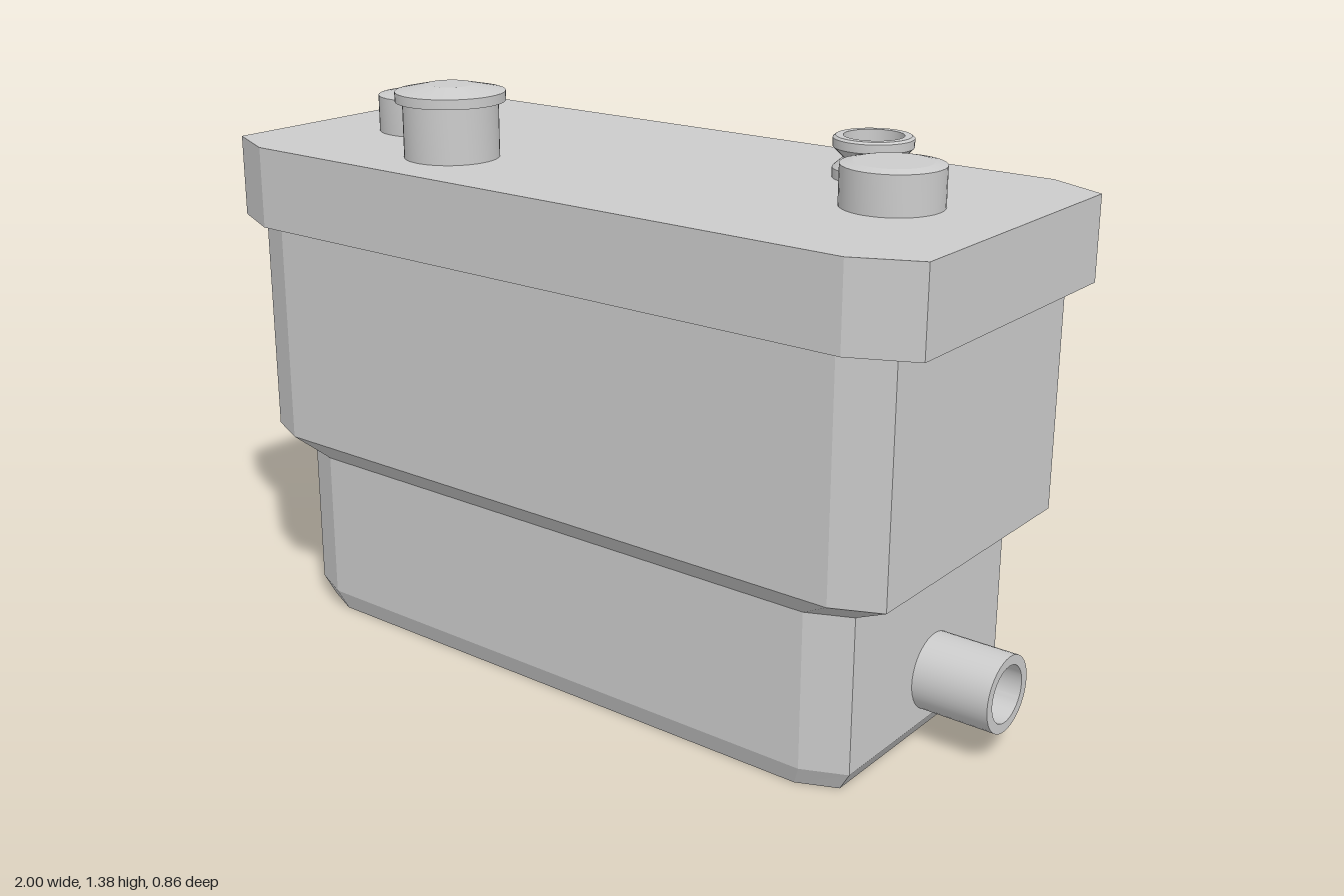
import * as THREE from 'three';
import { toCreasedNormals } from 'three/addons/utils/BufferGeometryUtils.js';

const material = new THREE.MeshStandardMaterial({ color: 0xcccccc });

// Closed stack of rectangles with cut corners: each level is [y, halfX, halfZ, cutX, cutZ]
function loft(levels) {
  const rings = levels.map(([y, a, b, cx, cz]) => [
    [a, b - cz], [a, cz - b], [a - cx, -b], [cx - a, -b],
    [-a, cz - b], [-a, b - cz], [cx - a, b], [a - cx, b],
  ].map(([x, z]) => [x, y, z]));
  const pos = [];
  const tri = (...corners) => corners.forEach((p) => pos.push(...p));
  const last = rings[rings.length - 1];
  for (let i = 0; i < 8; i++) {
    const j = (i + 1) % 8;
    for (let k = 0; k + 1 < rings.length; k++) {
      const lo = rings[k], hi = rings[k + 1];
      tri(lo[i], lo[j], hi[j]);
      tri(lo[i], hi[j], hi[i]);
    }
    tri([0, levels[0][0], 0], rings[0][j], rings[0][i]);
    tri([0, last[0][1], 0], last[i], last[j]);
  }
  const geometry = new THREE.BufferGeometry();
  geometry.setAttribute('position', new THREE.Float32BufferAttribute(pos, 3));
  geometry.computeVertexNormals();
  return geometry;
}

// Turned part from [radius, height] points, with crisp rims
function turned(profile) {
  const points = profile.map(([r, y]) => new THREE.Vector2(r, y));
  return toCreasedNormals(new THREE.LatheGeometry(points, 40), 0.2);
}

export function createModel() {
  const group = new THREE.Group();
  const add = (name, geometry, x = 0, y = 0, z = 0) => {
    const mesh = new THREE.Mesh(geometry, material);
    mesh.name = name;
    mesh.position.set(x, y, z);
    group.add(mesh);
    return mesh;
  };
  const top = 1.205;

  // Tank: chamfered base, narrow lower part, sloped shoulder, wide upper part
  add('tank', loft([
    [0, 0.785, 0.345, 0.09, 0.04],
    [0.048, 0.815, 0.362, 0.1, 0.045],
    [0.415, 0.815, 0.362, 0.1, 0.045],
    [0.465, 0.908, 0.403, 0.11, 0.05],
    [1.01, 0.908, 0.403, 0.11, 0.05],
  ]));
  add('lid', loft([
    [1.008, 0.972, 0.431, 0.145, 0.068],
    [top, 0.972, 0.431, 0.145, 0.068],
  ]));

  // Round plugs at both ends of the lid
  const plug = turned([[0, 0], [0.113, 0], [0.113, 0.089], [0.085, 0.095], [0, 0.095]]);
  add('rightPlug', plug, -0.685, top, 0.013);
  add('leftPlug', plug, 0.678, top, 0.013);

  // Filler neck with an overhanging, slightly domed cap
  add('fillerCap', turned([
    [0, 0], [0.112, 0], [0.112, 0.131], [0.129, 0.131],
    [0.129, 0.154], [0.055, 0.17], [0, 0.17],
  ]), -0.395, top, 0.215);

  // Hollow grooved spout
  add('spout', turned([
    [0, 0], [0.091, 0], [0.091, 0.022], [0.066, 0.044], [0.091, 0.069],
    [0.091, 0.089], [0.085, 0.094], [0.068, 0.094], [0.068, 0.01], [0, 0.01],
  ]), 0.497, top, -0.203);

  // Hollow pipe stubs on each end
  const pipe = turned([
    [0, 0], [0.09, 0], [0.09, 0.2], [0.067, 0.2], [0.067, 0.02], [0, 0.02],
  ]);
  for (const side of [-1, 1]) {
    const name = side > 0 ? 'leftPipe' : 'rightPipe';
    add(name, pipe, side * 0.8, 0.16, -0.02).rotation.z = -side * Math.PI / 2;
  }
  return group;
}
